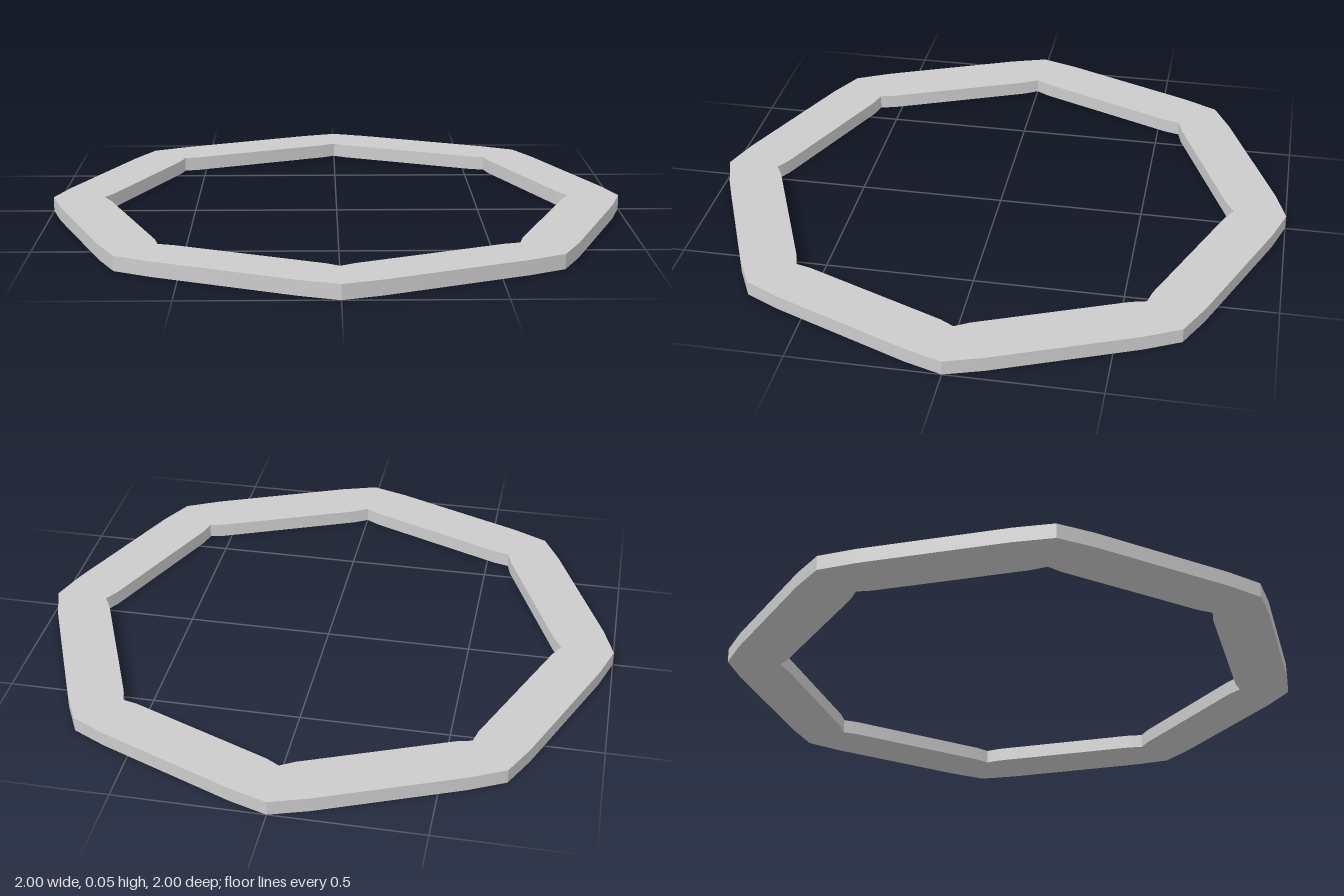
import * as THREE from 'three';
import { toCreasedNormals } from 'three/addons/utils/BufferGeometryUtils.js';

const SIDES = 8;
const HEIGHT = 0.05;

// Octagonal outline whose sides are straight in the middle and bend slightly to each corner
function outline(cornerRadius, sideDistance, halfStraight) {
  const points = [];
  for (let i = 0; i < SIDES; i++) {
    const corner = (i / SIDES) * Math.PI * 2;
    const middle = corner + Math.PI / SIDES;
    const c = Math.cos(middle), s = Math.sin(middle);
    points.push(new THREE.Vector2(Math.cos(corner), Math.sin(corner)).multiplyScalar(cornerRadius));
    for (const t of [-halfStraight, halfStraight]) {
      points.push(new THREE.Vector2(c * sideDistance - s * t, s * sideDistance + c * t));
    }
  }
  return points;
}

export function createModel() {
  const group = new THREE.Group();
  group.name = 'octagonalFrame';

  // Flat ring: outer outline with a matching opening
  const shape = new THREE.Shape(outline(1, 0.934, 0.25));
  shape.holes.push(new THREE.Path(outline(0.82, 0.75, 0.26)));
  const geometry = new THREE.ExtrudeGeometry(shape, { depth: HEIGHT, bevelEnabled: false });
  geometry.rotateX(-Math.PI / 2);

  // Smooth the slight bends, keep the corners and rims sharp
  const ring = new THREE.Mesh(
    toCreasedNormals(geometry, 0.4),
    new THREE.MeshStandardMaterial({ color: 0xcccccc })
  );
  ring.name = 'ring';
  group.add(ring);
  return group;
}
